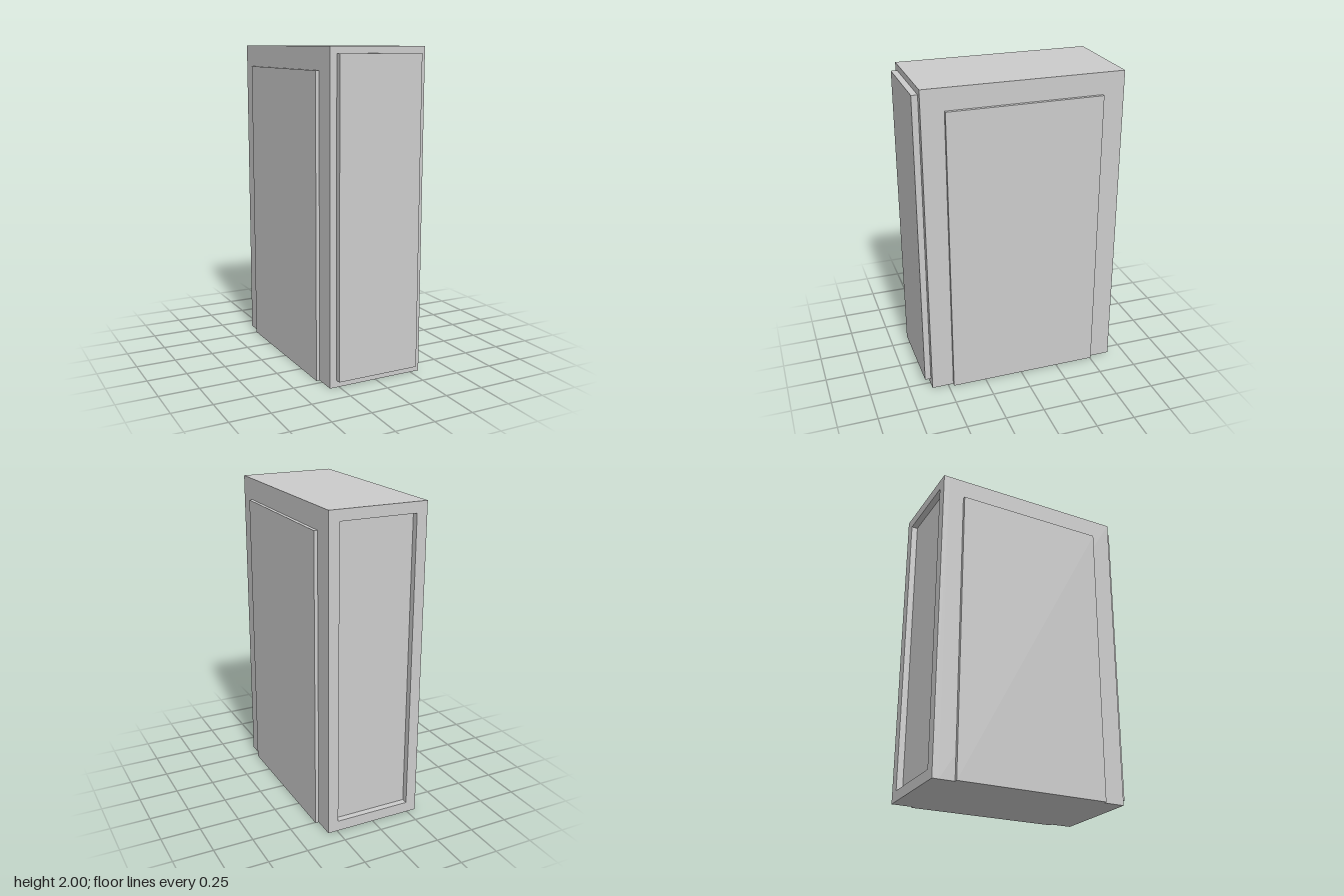
import * as THREE from 'three';

const W = 0.62, H = 2, BACK = -0.643, FRONT = 0.605, RECESS = 0.04;

export function createModel() {
  const model = new THREE.Group();
  const grey = new THREE.MeshStandardMaterial({ color: 0xcccccc, flatShading: true });

  function add(name, geometry, x, y, z) {
    const mesh = new THREE.Mesh(geometry, grey);
    mesh.name = name;
    mesh.position.set(x, y, z);
    model.add(mesh);
  }

  // Box given by its lower and upper limits on each axis
  function addBox(name, [x0, x1], [y0, y1], [z0, z1]) {
    add(name, new THREE.BoxGeometry(x1 - x0, y1 - y0, z1 - z0),
      (x0 + x1) / 2, (y0 + y1) / 2, (z0 + z1) / 2);
  }

  // Main cabinet body
  addBox('body', [-W / 2, W / 2], [0, H], [BACK + RECESS, FRONT]);

  // Rim around the recessed back
  const rim = new THREE.Shape([
    new THREE.Vector2(-W / 2, 0), new THREE.Vector2(W / 2, 0),
    new THREE.Vector2(W / 2, H), new THREE.Vector2(-W / 2, H),
  ]);
  const m = 0.067;
  rim.holes.push(new THREE.Path([
    new THREE.Vector2(-W / 2 + m, m), new THREE.Vector2(-W / 2 + m, H - m),
    new THREE.Vector2(W / 2 - m, H - m), new THREE.Vector2(W / 2 - m, m),
  ]));
  add('backRim', new THREE.ExtrudeGeometry(rim, { depth: RECESS, bevelEnabled: false }), 0, 0, BACK);

  // Raised front panel
  addBox('frontPanel', [-0.268, 0.268], [0.045, 1.96], [FRONT, 0.643]);

  // Raised side panels, standing on the ground
  addBox('leftSidePanel', [W / 2, 0.332], [0, 1.864], [-0.506, 0.466]);
  addBox('rightSidePanel', [-0.332, -W / 2], [0, 1.864], [-0.506, 0.466]);

  return model;
}
